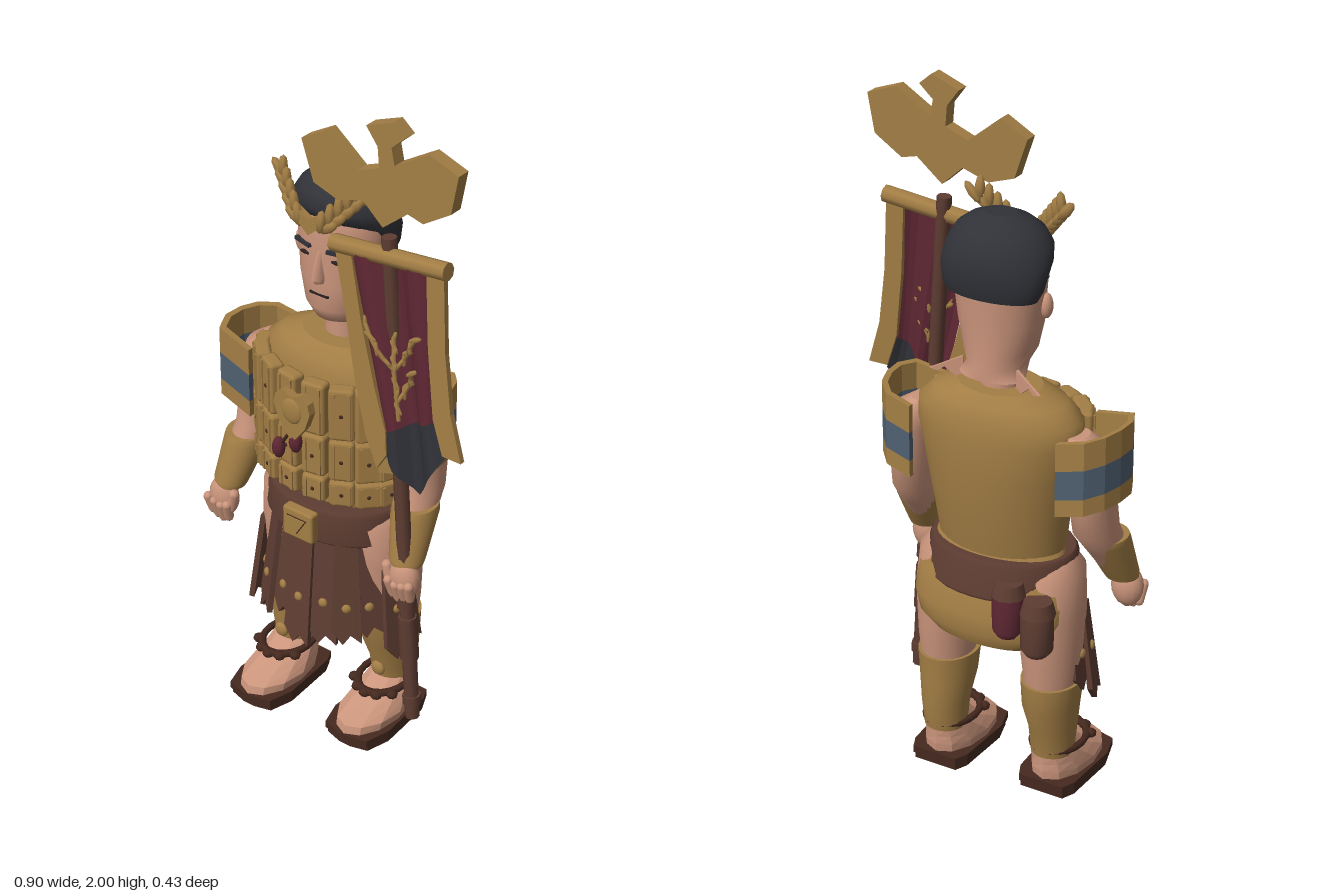
import * as THREE from 'three';
import { RoundedBoxGeometry } from 'three/addons/geometries/RoundedBoxGeometry.js';

const paint = (name, color, side = THREE.FrontSide) => { const m = new THREE.MeshStandardMaterial({ color, side }); m.name = name; return m; };
const brass = paint('brass', 0xa37e45), skin = paint('skin', 0xcb957c), hair = paint('charcoal', 0x313238, THREE.DoubleSide),
  leather = paint('leather', 0x5e3d32), darkLeather = paint('darkLeather', 0x45291f),
  crimson = paint('crimson', 0x5e2733, THREE.DoubleSide), blue = paint('slateBlue', 0x4f6071), dark = paint('darkLine', 0x2a2020);

const CX = -0.075; // the figure's own centre line

function add(parent, name, geo, mat, x = 0, y = 0, z = 0) {
  const m = new THREE.Mesh(geo, mat);
  m.name = name;
  m.position.set(x, y, z);
  parent.add(m);
  return m;
}

// Closed body through horizontal ellipses, bottom to top: [y, x, zBack, zFront, rx]
function loft(rings, n = 24, flat = false) {
  const pos = [], idx = [];
  const ring = ([y, x, zb, zf, rx]) => {
    for (let j = 0; j < n; j++) {
      const a = j / n * Math.PI * 2;
      pos.push(x + rx * Math.sin(a), y, (zb + zf) / 2 + (zf - zb) / 2 * Math.cos(a));
    }
  };
  rings.forEach(ring);
  for (let i = 0; i < rings.length - 1; i++) for (let j = 0; j < n; j++) {
    const a = i * n + j, b = i * n + (j + 1) % n;
    idx.push(a, b, b + n, a, b + n, a + n);
  }
  [[rings[0], true], [rings[rings.length - 1], false]].forEach(([r, under]) => {
    const s = pos.length / 3;
    ring(r);
    pos.push(r[1], r[0], (r[2] + r[3]) / 2);
    for (let j = 0; j < n; j++) {
      const a = s + j, b = s + (j + 1) % n;
      if (under) idx.push(b, a, s + n); else idx.push(a, b, s + n);
    }
  });
  let g = new THREE.BufferGeometry();
  g.setAttribute('position', new THREE.Float32BufferAttribute(pos, 3));
  g.setIndex(idx);
  if (flat) g = g.toNonIndexed();
  g.computeVertexNormals();
  return g;
}

const plate = (pts, depth) => new THREE.ExtrudeGeometry(
  new THREE.Shape(pts.map(p => new THREE.Vector2(...p))), { depth, bevelEnabled: false });
const blob = (rx, ry, rz, w = 14, h = 10) => new THREE.SphereGeometry(1, w, h).scale(rx, ry, rz);

function rod(parent, name, a, b, r, mat, sides = 10) {
  const A = new THREE.Vector3(...a), B = new THREE.Vector3(...b), d = B.clone().sub(A);
  const m = add(parent, name, new THREE.CylinderGeometry(r, r, d.length(), sides), mat);
  m.position.copy(A).add(B).multiplyScalar(0.5);
  m.quaternion.setFromUnitVectors(new THREE.Vector3(0, 1, 0), d.normalize());
  return m;
}

function buildHead(g) {
  add(g, 'neck', loft([[1.2, 0, -0.1, 0.0, 0.055], [1.3, 0, -0.1, 0.0, 0.055]]), skin);
  add(g, 'head', loft([[1.27, 0, -0.15, -0.03, 0.095], [1.3, 0, -0.15, 0.04, 0.08], [1.34, 0, -0.147, 0.06, 0.1],
    [1.42, 0, -0.148, 0.063, 0.119], [1.5, 0, -0.155, 0.06, 0.127], [1.58, 0, -0.16, 0.063, 0.133],
    [1.64, 0, -0.15, 0.05, 0.115], [1.68, 0, -0.11, 0.01, 0.07]], 32), skin);
  add(g, 'hair', loft([[1.505, 0, -0.16, -0.03, 0.135], [1.53, 0, -0.168, -0.012, 0.147], [1.57, 0, -0.174, 0.01, 0.154],
    [1.605, 0, -0.174, 0.052, 0.154], [1.64, 0, -0.165, 0.07, 0.145], [1.675, 0, -0.145, 0.055, 0.122], [1.7, 0, -0.115, 0.025, 0.088], [1.717, 0, -0.085, -0.01, 0.045]], 28), hair);
  add(g, 'nose', loft([[1.425, 0, 0.03, 0.078, 0.02], [1.44, 0, 0.03, 0.09, 0.02], [1.515, 0, 0.03, 0.066, 0.008]], 8), skin);
  add(g, 'mouth', new THREE.BoxGeometry(0.062, 0.006, 0.01), dark, 0, 1.386, 0.058);
  for (const s of [-1, 1]) {
    add(g, 'ear', blob(0.018, 0.036, 0.02), skin, s * 0.128, 1.472, -0.03);
    add(g, 'brow', new THREE.BoxGeometry(0.07, 0.01, 0.012), hair, s * 0.06, 1.522, 0.05).rotation.set(0, s * 0.35, -s * 0.08);
    add(g, 'eye', blob(0.02, 0.006, 0.006), dark, s * 0.05, 1.494, 0.051);
    // Ragged hem below the nape
    const hem = add(g, 'neckHem', plate([[0, 0.03], [0.09, -0.012], [0.07, -0.018], [0.05, -0.005], [0.02, -0.03], [0, -0.02]], 0.008), skin, s * 0.085, 1.275, -0.1);
    hem.rotation.y = s > 0 ? 0.35 : Math.PI - 0.35;
    // Wreath: paired leaves rising from brow to temple
    for (let i = 0; i < 5; i++) for (const e of [-1, 1]) {
      const leaf = add(g, 'wreathLeaf', blob(0.016, 0.036, 0.013, 6, 4), brass,
        s * (0.047 + 0.021 * i + e * 0.009), 1.625 + 0.023 * i - e * 0.007, 0.094 - 0.011 * i - e * 0.004);
      leaf.rotation.z = -s * (0.55 + e * 0.4 - i * 0.06);
    }
  }
  add(g, 'wreathCentre', plate([[-0.045, 0.04], [-0.035, 0], [0, -0.032], [0.035, 0], [0.045, 0.04], [0, 0.015]], 0.02), brass, 0, 1.615, 0.085);
}

function buildTorso(g) {
  add(g, 'cuirass', loft([[0.74, 0, -0.15, 0.09, 0.187], [0.85, 0, -0.17, 0.1, 0.2], [1.0, 0, -0.188, 0.108, 0.225],
    [1.1, 0, -0.188, 0.105, 0.247], [1.16, 0, -0.182, 0.095, 0.243], [1.2, 0, -0.165, 0.08, 0.195], [1.232, 0, -0.14, 0.05, 0.12]], 36), brass);
  // Lamellar chest: columns of plates around the front
  const rows = [[0.793, 0.872], [0.876, 1.003], [1.007, 1.168]];
  for (let c = 0; c < 8; c++) {
    const a = (c - 3.5) * 0.38;
    for (const [lo, hi] of rows) {
      const p = new THREE.Group();
      p.name = 'chestPlate';
      p.position.set(0.222 * Math.sin(a), (lo + hi) / 2, 0.005 + 0.13 * Math.cos(a));
      p.rotation.y = a * 0.85;
      add(p, 'plate', new RoundedBoxGeometry(0.073, hi - lo, 0.044, 1, 0.011), brass);
      for (const e of [-1, 1]) add(p, 'plateRib', new THREE.BoxGeometry(0.01, hi - lo - 0.02, 0.01), brass, e * 0.022, 0, 0.021);
      add(p, 'rivet', blob(0.006, 0.006, 0.004, 8, 6), darkLeather, 0, 0, 0.022);
      g.add(p);
    }
  }
  add(g, 'medallion', plate([[0, -0.09], [0.045, -0.03], [0.062, 0.02], [0.055, 0.05], [0.03, 0.07], [0, 0.055], [-0.03, 0.07], [-0.055, 0.05], [-0.062, 0.02], [-0.045, -0.03]], 0.025), brass, 0, 1.068, 0.158);
  add(g, 'medallionBoss', blob(0.035, 0.04, 0.01), brass, 0, 1.08, 0.181);
  for (const [x, y] of [[-0.058, 0.935], [0.002, 0.975]]) {
    add(g, 'pendant', blob(0.02, 0.033, 0.018, 8, 6), crimson, x, y, 0.17);
    rod(g, 'pendantCord', [x, y, 0.17], [0, 1.03, 0.166], 0.005, darkLeather, 6);
  }
  // Hips, belt and buckle
  add(g, 'shorts', loft([[0.49, 0, -0.19, -0.1, 0.14], [0.53, 0, -0.207, -0.05, 0.205], [0.58, 0, -0.205, -0.01, 0.23], [0.66, 0, -0.19, 0.03, 0.23], [0.76, 0, -0.15, 0.08, 0.19]], 32), brass);
  add(g, 'belt', loft([[0.642, 0, -0.2, 0.138, 0.222], [0.652, 0, -0.205, 0.146, 0.228], [0.737, 0, -0.184, 0.14, 0.218], [0.75, 0, -0.177, 0.132, 0.21]], 32), leather);
  add(g, 'buckle', new RoundedBoxGeometry(0.105, 0.095, 0.035, 1, 0.008), brass, 0, 0.696, 0.15);
  add(g, 'buckleInset', plate([[-0.034, 0.024], [0, -0.03], [0.034, 0.024]], 0.006), darkLeather, 0, 0.698, 0.164);
  add(g, 'buckleTriangle', plate([[-0.03, 0.022], [0, -0.026], [0.03, 0.022]], 0.009), brass, 0, 0.698, 0.165);
  // Hanging leather strips with studs, uneven at the hem
  for (let i = 0; i < 11; i++) {
    const a = (i - 5) * 0.32, side = Math.abs(i - 5) > 3, len = (side ? 0.235 : 0.3) + 0.055 * ((i * 3) % 4) / 3;
    const h = new THREE.Group();
    h.name = 'skirtStrip';
    h.position.set((side ? 0.215 : 0.185) * Math.sin(a), side ? 0.57 : 0.65, -0.015 + 0.125 * Math.cos(a));
    h.rotation.set(-0.13, a, 0, 'YXZ');
    add(h, 'strip', plate([[-0.032, 0], [-0.044, -len + 0.04], [-0.01, -len - 0.005], [0.012, -len + 0.025], [0.044, -len], [0.032, 0]], 0.016), leather, 0, 0, (i % 2) * 0.012);
    add(h, 'stud', blob(0.014, 0.014, 0.008, 8, 6), brass, 0, side ? -0.13 : -0.205, 0.018 + (i % 2) * 0.012);
    g.add(h);
  }
  // Pouches on the back of the belt
  for (const [x, y, mat] of [[-0.1, 0.615, crimson], [-0.19, 0.58, leather]]) {
    add(g, 'pouch', loft([[y - 0.075, x, -0.205, -0.145, 0.03], [y - 0.055, x, -0.218, -0.13, 0.046], [y + 0.05, x, -0.218, -0.13, 0.047], [y + 0.08, x, -0.208, -0.14, 0.038]], 12), mat);
    add(g, 'pouchLid', new THREE.CylinderGeometry(0.04, 0.05, 0.04, 12), leather, x, y + 0.07, -0.17);
  }
}

function buildArm(g, s) {
  add(g, 'arm', loft([[0.66, s * 0.313, 0.045, 0.12, 0.038], [0.78, s * 0.295, -0.045, 0.09, 0.055], [0.85, s * 0.285, -0.1, 0.055, 0.06],
    [0.95, s * 0.28, -0.12, 0.045, 0.06], [1.05, s * 0.273, -0.13, 0.04, 0.068], [1.1, s * 0.262, -0.12, 0.025, 0.062], [1.135, s * 0.24, -0.09, -0.01, 0.03]]), skin);
  add(g, 'bracer', loft([[0.665, s * 0.315, 0.035, 0.125, 0.047], [0.68, s * 0.313, 0.026, 0.125, 0.052], [0.8, s * 0.297, -0.055, 0.095, 0.064], [0.82, s * 0.296, -0.055, 0.085, 0.062]]), brass);
  add(g, 'palm', blob(0.048, 0.064, 0.036), skin, s * 0.322, 0.625, 0.1);
  for (let i = 0; i < 4; i++) {
    const f = add(g, 'finger', new THREE.CapsuleGeometry(0.0145, 0.05, 3, 8), skin, s * (0.292 + 0.021 * i), 0.585 + Math.abs(i - 1.2) * 0.008, 0.122);
    f.rotation.set(0.3, 0, s * (0.12 - i * 0.08));
  }
  add(g, 'thumb', new THREE.CapsuleGeometry(0.016, 0.05, 3, 8), skin, s * 0.28, 0.63, 0.115).rotation.z = s * 0.25;
  // Banded guard wrapped around the upper arm
  const outer = [[0.225, -0.15], [0.305, -0.14], [0.345, -0.095], [0.363, -0.04], [0.366, 0.02], [0.34, 0.078], [0.225, 0.092]];
  const inner = [[0.225, 0.074], [0.33, 0.06], [0.35, 0.015], [0.348, -0.036], [0.331, -0.086], [0.298, -0.122], [0.225, -0.132]];
  for (const [name, y, h, mat] of [['guardRim', 0.95, 0.05, brass], ['guardStripe', 1.0, 0.085, blue], ['guardTop', 1.085, 0.08, brass]]) {
    const geo = plate([...outer, ...inner].map(([x, z]) => [s * x, -z]), h).rotateX(-Math.PI / 2);
    const p = geo.attributes.position;
    for (let i = 0; i < p.count; i++) p.setY(i, p.getY(i) + (Math.abs(p.getX(i)) - 0.33) * 0.22); // outer side sits higher
    geo.computeVertexNormals();
    add(g, name, geo, mat, 0, y, 0);
  }
}

function buildLeg(g, s) {
  const x = s * 0.167, dz = s < 0 ? 0.018 : -0.012;
  add(g, 'thigh', loft([[0.3, x, -0.125, 0.03, 0.07], [0.42, x, -0.14, 0.05, 0.083], [0.58, s * 0.16, -0.155, 0.075, 0.094], [0.7, s * 0.152, -0.14, 0.08, 0.093], [0.745, s * 0.14, -0.1, 0.05, 0.07]]), skin);
  add(g, 'greave', loft([[0.115, x, -0.115 + dz, 0.01 + dz, 0.062], [0.2, x, -0.128 + dz, 0.025 + dz, 0.068], [0.28, x, -0.138, 0.045, 0.08], [0.36, x, -0.142, 0.06, 0.086]]), brass);
  add(g, 'greaveBoss', blob(0.023, 0.023, 0.012), brass, x, 0.18, 0.025 + dz);
  const foot = new THREE.Group();
  foot.name = 'foot';
  foot.position.set(x, 0, dz);
  add(foot, 'footFlesh', loft([[0.035, 0, -0.11, 0.188, 0.084], [0.065, 0, -0.112, 0.18, 0.088], [0.09, 0, -0.11, 0.12, 0.08], [0.115, 0, -0.11, 0.06, 0.07], [0.145, 0, -0.11, 0.02, 0.06]], 12, true), skin);
  const sole = [[-0.07, -0.12], [0.07, -0.12], [0.088, -0.08], [0.097, 0.1], [0.075, 0.175], [0.02, 0.19], [-0.02, 0.19], [-0.075, 0.175], [-0.097, 0.1], [-0.088, -0.08]];
  for (const [y, k, h] of [[0, 0.96, 0.017], [0.019, 1, 0.022]])
    add(foot, 'sole', plate(sole.map(([a, b]) => [a * k, -b * k]), h).rotateX(-Math.PI / 2), darkLeather, 0, y, 0);
  add(foot, 'ankleStrap', new THREE.TorusGeometry(0.072, 0.011, 6, 20).rotateX(Math.PI / 2).scale(1, 1, 1.3), darkLeather, 0, 0.133, -0.01);
  for (let i = -2; i <= 2; i++) add(foot, 'strapKnot', blob(0.018, 0.014, 0.017, 8, 6), darkLeather, i * 0.034, 0.13, 0.088 - i * i * 0.01);
  g.add(foot);
}

// Cloth surface: folds run down the banner, which leans forward toward its lower edge
const lean = y => 0.106 + (1.6 - y) * 0.04;
const fold = t => 0.02 * Math.sin(3 * Math.PI * THREE.MathUtils.clamp(t, 0, 1));
const across = (x, y) => { const l = 0.07 + (1.59 - y) * 0.27; return (x - l) / (0.313 + (1.6 - y) * 0.105 - l); };

// Folded panel between two rows of points, each given as t => [x, y]
function panel(g, name, mat, top, bottom) {
  const geo = new THREE.PlaneGeometry(1, 1, 12, 3).toNonIndexed(), p = geo.attributes.position;
  for (let i = 0; i < p.count; i++) {
    const t = p.getX(i) + 0.5, v = p.getY(i) + 0.5, a = top(t), b = bottom(t);
    const y = b[1] + (a[1] - b[1]) * v;
    p.setXYZ(i, b[0] + (a[0] - b[0]) * v, y, lean(y) + fold(t));
  }
  geo.computeVertexNormals();
  add(g, name, geo, mat);
}

function buildStandard(g) {
  const shaftX = y => 0.18 + (1.66 - y) * 0.07;
  rod(g, 'pole', [shaftX(1.66), 1.66, 0.092], [shaftX(0.16), 0.16, 0.105], 0.021, leather, 8);
  for (const [y, h] of [[0.55, 0.04], [0.43, 0.14], [0.22, 0.03]])
    rod(g, 'poleCollar', [shaftX(y + h / 2), y + h / 2, 0.103], [shaftX(y - h / 2), y - h / 2, 0.103], 0.027, leather, 8);
  rod(g, 'crossbar', [0.005, 1.59, 0.1], [0.372, 1.628, 0.1], 0.025, brass, 8);
  const mid = t => [0.2 + 0.16 * t, 1.1 + 0.09 * t];
  panel(g, 'bannerField', crimson, t => [0.07 + 0.25 * t, 1.59 + 0.02 * t], mid);
  panel(g, 'bannerTail', hair, mid, t => t < 0.5 ? [0.205 + 0.2 * t, 1.03 - 0.2 * t] : [0.305 + 0.18 * (t - 0.5), 0.93 + 0.32 * (t - 0.5)]);
  const edge = (name, pts) => {
    const geo = plate(pts, 0.016), p = geo.attributes.position;
    for (let i = 0; i < p.count; i++) p.setZ(i, p.getZ(i) + lean(p.getY(i)) - 0.006);
    geo.computeVertexNormals();
    add(g, name, geo, brass);
  };
  edge('bannerLeftEdge', [[0.025, 1.58], [0.065, 1.4], [0.1, 1.22], [0.14, 1.07], [0.18, 0.98], [0.21, 1.03], [0.205, 1.1], [0.165, 1.22], [0.115, 1.4], [0.075, 1.59]]);
  edge('bannerRightEdge', [[0.315, 1.61], [0.33, 1.4], [0.355, 1.2], [0.39, 1.1], [0.45, 1.1], [0.41, 1.23], [0.385, 1.4], [0.37, 1.615]]);
  // Laurel sprig following the folds
  const onCloth = (x, y) => [x, y, lean(y) + fold(across(x, y)) + 0.006];
  const sprig = [[[0.245, 1.15], [0.22, 1.29]], [[0.22, 1.29], [0.135, 1.41]], [[0.22, 1.29], [0.3, 1.42]], [[0.235, 1.2], [0.285, 1.31]], [[0.22, 1.29], [0.21, 1.38]]];
  for (const [a, b] of sprig) {
    let last = onCloth(...a);
    for (let i = 1; i <= 4; i++) {
      const t = i / 4, here = onCloth(a[0] + (b[0] - a[0]) * t, a[1] + (b[1] - a[1]) * t);
      rod(g, 'sprigStem', last, here, 0.006, brass, 6);
      const leaf = add(g, 'sprigLeaf', blob(0.008, 0.024, 0.005, 6, 4), brass, ...here);
      leaf.rotation.z = Math.atan2(a[0] - b[0], b[1] - a[1]) + (i % 2 ? 0.5 : -0.5);
      last = here;
    }
  }
  // Spread-winged bird finial
  add(g, 'birdFinial', plate([[-0.08, 1.87], [0, 1.915], [0.1, 1.835], [0.168, 1.862], [0.163, 1.92], [0.127, 1.968], [0.21, 2], [0.248, 1.968],
    [0.206, 1.93], [0.216, 1.883], [0.322, 1.947], [0.411, 1.915], [0.39, 1.804], [0.306, 1.75], [0.258, 1.762], [0.18, 1.698],
    [0.116, 1.756], [0.037, 1.73], [-0.042, 1.756]], 0.04), brass, 0, 0, 0.08);
}

export function createModel() {
  const model = new THREE.Group();
  model.name = 'standardBearer';
  const figure = new THREE.Group();
  figure.name = 'figure';
  figure.position.x = CX;
  buildHead(figure);
  buildTorso(figure);
  for (const s of [-1, 1]) { buildArm(figure, s); buildLeg(figure, s); }
  const standard = new THREE.Group();
  standard.name = 'standard';
  buildStandard(standard);
  model.add(figure, standard);
  return model;
}
